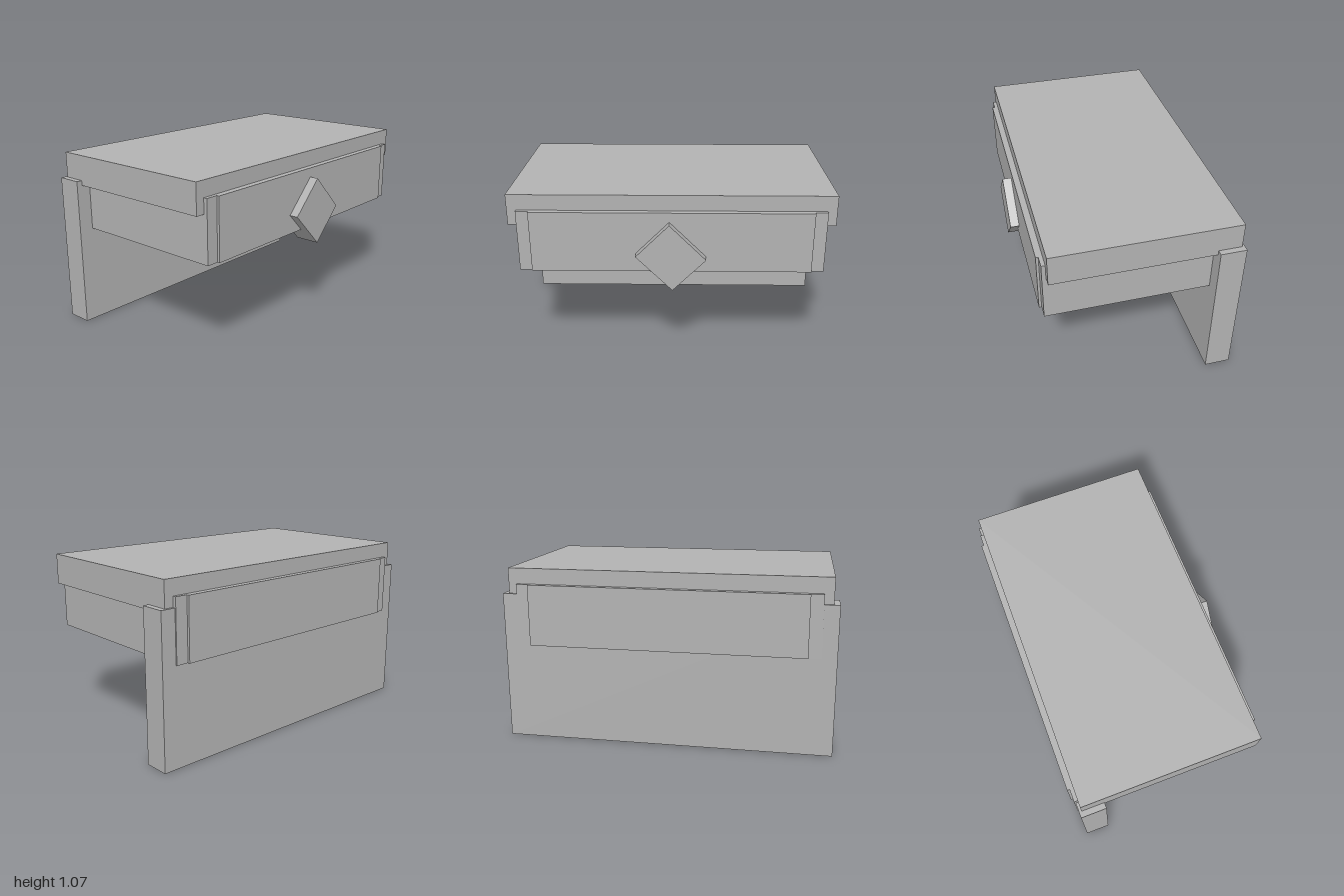
import * as THREE from 'three';

export function createModel() {
  const group = new THREE.Group();
  const grey = new THREE.MeshStandardMaterial({ color: 0xb2b2b2 });
  grey.name = 'plain grey';

  const add = (name, geometry) => {
    const mesh = new THREE.Mesh(geometry, grey);
    mesh.name = name;
    group.add(mesh);
    return mesh;
  };
  // Box given by its lower and upper corners
  const block = (name, [x0, y0, z0], [x1, y1, z1]) => {
    const mesh = add(name, new THREE.BoxGeometry(x1 - x0, y1 - y0, z1 - z0));
    mesh.position.set((x0 + x1) / 2, (y0 + y1) / 2, (z0 + z1) / 2);
    return mesh;
  };
  const rectangle = (target, x0, y0, x1, y1) => {
    target.moveTo(x0, y0);
    target.lineTo(x1, y0);
    target.lineTo(x1, y1);
    target.lineTo(x0, y1);
    target.closePath();
    return target;
  };

  // Thick top slab
  block('topSlab', [-0.965, 0.88, -0.575], [0.965, 1.065, 0.52]);

  // Hollow body, open underneath; shape y becomes -z when laid flat
  const outline = rectangle(new THREE.Shape(), -0.91, -0.543, 0.91, 0.597);
  outline.holes.push(rectangle(new THREE.Path(), -0.666, -0.357, 0.666, 0.4));
  const frame = new THREE.ExtrudeGeometry(outline, { depth: 0.373, bevelEnabled: false });
  frame.rotateX(-Math.PI / 2);
  add('bodyFrame', frame).position.y = 0.597;

  // Raised panels on the front and back of the body
  block('frontPanel', [-0.835, 0.597, 0.5], [0.835, 0.97, 0.558]);
  block('backPanel', [-0.835, 0.597, -0.612], [0.835, 0.97, -0.55]);

  // Full-width standing board at the back
  block('backBoard', [-1, 0, -0.59], [1, 0.91, -0.435]);

  // Diamond-shaped front block
  const diamond = add('frontDiamond', new THREE.BoxGeometry(0.308, 0.281, 0.152));
  diamond.rotation.z = -Math.PI / 4;
  diamond.position.set(-0.003, 0.705, 0.536);

  return group;
}
